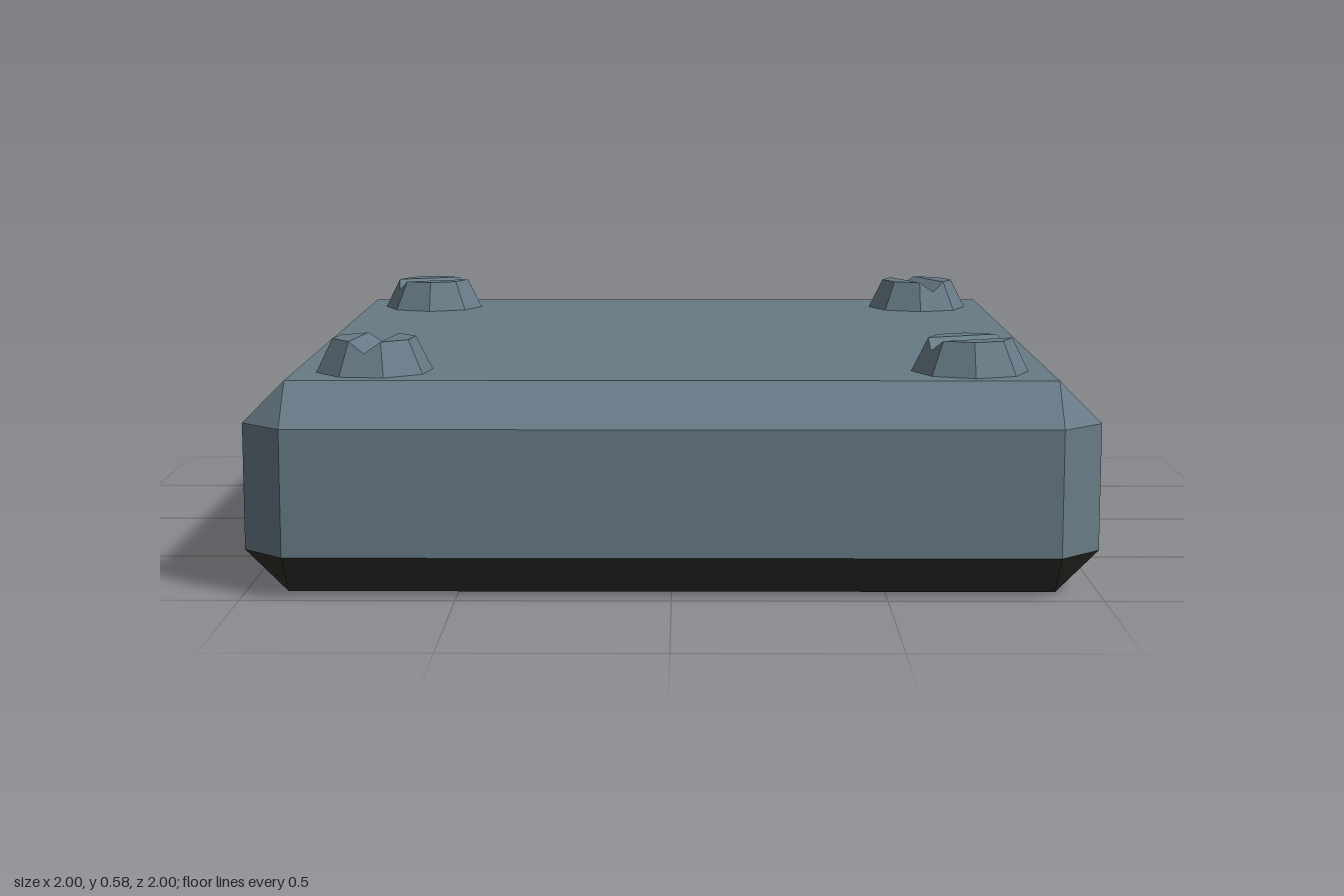
import * as THREE from 'three';

const flat = (name, color) => {
  const m = new THREE.MeshStandardMaterial({ color });
  m.name = name;
  return m;
};

// Flat-shaded geometry from convex polygons, corners counter-clockwise from outside
function polygons(faces) {
  const out = [];
  const tri = new THREE.Triangle();
  for (const f of faces) {
    for (let i = 1; i < f.length - 1; i++) {
      tri.set(f[0], f[i], f[i + 1]);
      if (tri.getArea() > 1e-7) for (const p of [f[0], f[i], f[i + 1]]) out.push(p.x, p.y, p.z);
    }
  }
  const g = new THREE.BufferGeometry();
  g.setAttribute('position', new THREE.Float32BufferAttribute(out, 3));
  g.computeVertexNormals();
  return g;
}

// Quads joining a lower ring to an upper ring
const band = (lo, hi) => lo.map((p, i) => {
  const j = (i + 1) % lo.length;
  return [p, lo[j], hi[j], hi[i]];
});

// Eight points round the slab: two per side, a square when reach equals half
function slabRing(reach, half, y) {
  const pts = [];
  for (let k = 0; k < 4; k++) {
    for (const z of [half, -half]) {
      pts.push(new THREE.Vector3(reach, y, z).applyAxisAngle(new THREE.Vector3(0, 1, 0), k * Math.PI / 2));
    }
  }
  return pts;
}

// Octagonal screw head with a V-shaped slot across the top
function screwGeometry() {
  const height = 0.08, depth = 0.027;
  const at = (r, deg, y) => {
    const a = THREE.MathUtils.degToRad(deg);
    return new THREE.Vector3(r * Math.cos(a), y, -r * Math.sin(a));
  };
  const b = [], t = [];
  for (let i = 0; i < 8; i++) {
    b.push(at(0.14, i * 45, 0));
    t.push(at(0.1, i * 45, height));
  }
  // slot ends lie on the sloping sides
  const r = (0.1 + 0.04 * depth / height) * Math.cos(Math.PI / 8);
  const m = at(r, 22.5, height - depth), n = at(r, 202.5, height - depth);
  const faces = [
    [t[1], t[2], t[3], t[4]], [t[5], t[6], t[7], t[0]],
    [t[1], t[4], n, m], [m, n, t[5], t[0]],
  ];
  band(b, t).forEach((quad, i) => {
    if (i % 4) return faces.push(quad);
    const [b0, b1, t1, t0] = quad, notch = i ? n : m;
    faces.push([b0, notch, t0], [b0, b1, notch], [b1, t1, notch]);
  });
  return polygons(faces);
}

export function createModel() {
  const group = new THREE.Group();
  group.name = 'screwedPlate';
  const steel = flat('blueGreySteel', 0x677b86);
  const dark = flat('darkEdge', 0x2f312a);
  const brown = flat('darkBrown', 0x412210);

  const add = (name, geometry, material) => {
    const mesh = new THREE.Mesh(geometry, material);
    mesh.name = name;
    group.add(mesh);
    return mesh;
  };

  // Chamfered slab
  const bottom = slabRing(0.9, 0.9, 0), low = slabRing(1, 0.9, 0.1);
  const high = slabRing(1, 0.9, 0.4), top = slabRing(0.9, 0.9, 0.5);
  const square = (ring) => ring.filter((p, i) => i % 2 === 0);
  add('slab', polygons([...band(low, high), ...band(high, top), square(top)]), steel);
  add('lowerChamfer', polygons(band(bottom, low)), dark);
  add('underside', polygons([square(bottom).reverse()]), brown);

  // Screws at the corners, each turned differently
  const screw = screwGeometry();
  const spots = [
    ['backRightScrew', -0.71, -0.705, 0], ['backLeftScrew', 0.71, -0.705, 90],
    ['frontRightScrew', -0.71, 0.725, 60], ['frontLeftScrew', 0.71, 0.725, 0],
  ];
  for (const [name, x, z, turn] of spots) {
    const mesh = add(name, screw, steel);
    mesh.position.set(x, 0.5, z);
    mesh.rotation.y = THREE.MathUtils.degToRad(turn);
  }
  return group;
}
